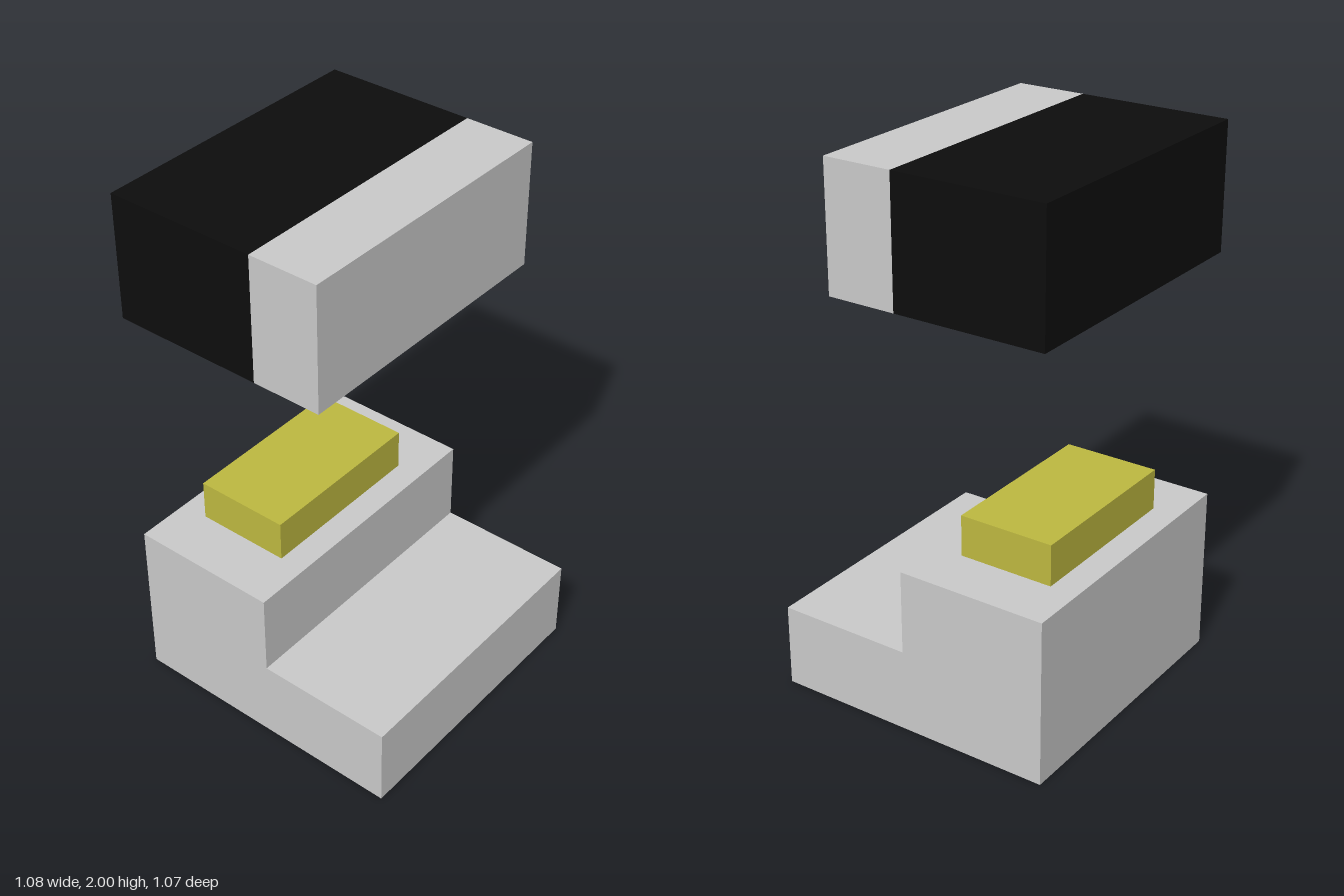
import * as THREE from 'three';

export function createModel() {
  const model = new THREE.Group();
  const mat = (name, color) => {
    const m = new THREE.MeshStandardMaterial({ color });
    m.name = name;
    return m;
  };
  const grey = mat('light grey', 0xc9c9c9);
  const black = mat('black', 0x0d0d0d);
  const yellow = mat('mustard yellow', 0xbdb840);

  // Box given by half width and its y and z limits
  const block = (name, material, halfX, y0, y1, z0, z1) => {
    const geo = new THREE.BoxGeometry(2 * halfX, y1 - y0, z1 - z0);
    geo.translate(0, (y0 + y1) / 2, (z0 + z1) / 2);
    const mesh = new THREE.Mesh(geo, material);
    mesh.name = name;
    model.add(mesh);
  };

  const W = 0.538, BACK = -0.537, FRONT = 0.537, MID = 0.025;
  const STEP = 0.308, SLAB = 0.11;

  // Stepped base
  block('baseRiser', grey, W, 0, 0.62, BACK, MID);
  block('baseStep', grey, W, 0, STEP - SLAB, MID, FRONT);

  // Top layer of the step, with a small slot cut into it
  const rect = (Type, x0, x1, z0, z1) => {
    const s = new Type();
    s.moveTo(x0, -z0).lineTo(x1, -z0).lineTo(x1, -z1).lineTo(x0, -z1).closePath();
    return s;
  };
  const plan = rect(THREE.Shape, -W, W, MID, FRONT);
  plan.holes.push(rect(THREE.Path, 0.33, 0.385, 0.185, 0.28));
  const slab = new THREE.ExtrudeGeometry(plan, { depth: SLAB, bevelEnabled: false });
  slab.rotateX(-Math.PI / 2).translate(0, STEP - SLAB, 0);
  const stepTop = new THREE.Mesh(slab, grey);
  stepTop.name = 'stepTopWithSlot';
  model.add(stepTop);

  // Pad resting on the riser
  block('pad', yellow, 0.331, 0.62, 0.773, -0.434, -0.075);

  // Floating upper block: grey front, black rear
  block('upperFront', grey, W, 1.54, 2, MID, 0.283);
  block('upperRear', black, W, 1.54, 2, BACK, MID);

  return model;
}
